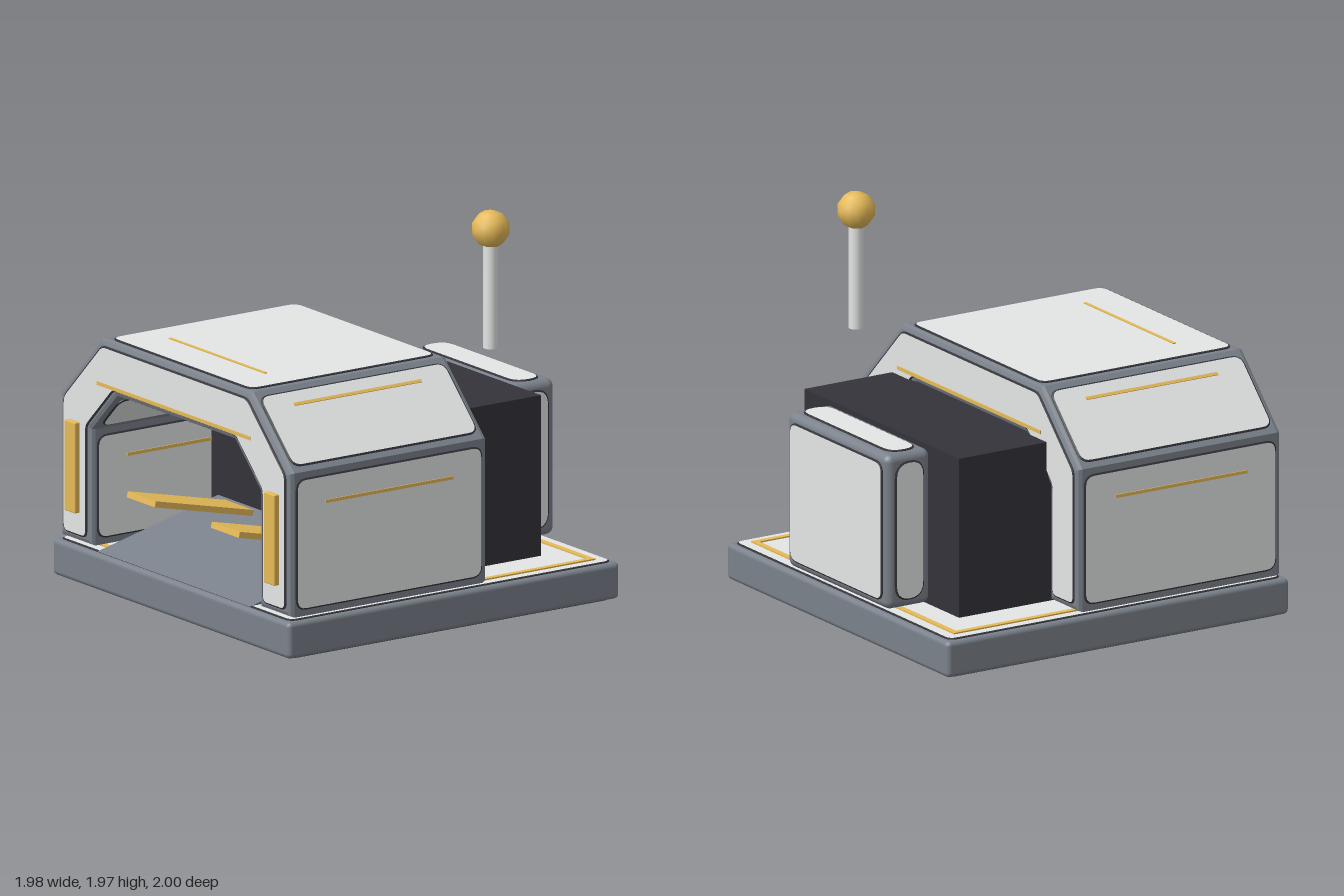
import * as THREE from 'three';
import { RoundedBoxGeometry } from 'three/addons/geometries/RoundedBoxGeometry.js';

const mat = (name, color) => Object.assign(new THREE.MeshStandardMaterial({ color }), { name });

export function createModel() {
  const model = new THREE.Group();
  model.name = 'garageModule';
  const slate = mat('slate frame', 0x7b828b);
  const pale = mat('pale panel', 0xe4e6e6);
  const dark = mat('dark core', 0x34333a);
  const gold = mat('gold trim', 0xe6ba58);
  const seamed = [pale, dark]; // pale face, dark seam around the rim

  const add = (name, geometry, material, x = 0, y = 0, z = 0) => {
    const mesh = new THREE.Mesh(geometry, material);
    mesh.name = name;
    mesh.position.set(x, y, z);
    model.add(mesh);
    return mesh;
  };
  const box = (name, material, w, h, d, x, y, z) =>
    add(name, new THREE.BoxGeometry(w, h, d), material, x, y, z);

  // Closed polygon with rounded corners
  const roundPoly = (points, r) => {
    const pts = points.map(([x, y]) => new THREE.Vector2(x, y));
    const shape = new THREE.Shape();
    pts.forEach((p, i) => {
      const prev = pts[(i + pts.length - 1) % pts.length];
      const next = pts[(i + 1) % pts.length];
      const a = prev.clone().sub(p).setLength(r).add(p);
      const b = next.clone().sub(p).setLength(r).add(p);
      if (i) shape.lineTo(a.x, a.y); else shape.moveTo(a.x, a.y);
      shape.quadraticCurveTo(p.x, p.y, b.x, b.y);
    });
    shape.closePath();
    return shape;
  };
  // Thin panel with a sloping rim; its face lies 0.009 above its origin
  const plate = (shape) => new THREE.ExtrudeGeometry(shape, {
    depth: 0.005, bevelThickness: 0.004, bevelSize: 0.008, bevelSegments: 1, curveSegments: 5,
  });
  const rectPlate = (w, h, r) =>
    plate(roundPoly([[-w / 2, -h / 2], [w / 2, -h / 2], [w / 2, h / 2], [-w / 2, h / 2]], r));
  const mirrored = (half) => [...half, ...half.map(([x, y]) => [-x, y]).reverse()];

  // Base slab, floor and underside plates, gold border
  add('base', new RoundedBoxGeometry(1.98, 0.184, 1.98, 2, 0.025), slate, 0, 0.098, 0);
  for (const s of [-1, 1]) {
    const panel = add(s > 0 ? 'floorPlate' : 'undersidePlate', rectPlate(1.91, 1.91, 0.04), seamed,
      0, s > 0 ? 0.188 : 0.009, 0);
    panel.rotation.x = -s * Math.PI / 2;
    box('floorTrimSide', gold, 0.03, 0.008, 1.8, s * 0.893, 0.2, 0);
    box('floorTrimEnd', gold, 1.756, 0.008, 0.03, 0, 0.2, s * 0.885);
  }

  // Arched shell frame
  const zBack = -0.215, zFront = 0.96, zMid = (zBack + zFront) / 2, zLen = zFront - zBack;
  const outer = mirrored([[0.96, 0.205], [0.96, 0.93], [0.62, 1.267]]);
  const inner = mirrored([[0.7, 0.205], [0.7, 0.79], [0.49, 1.0]]).reverse();
  const bevel = 0.025;
  const arch = new THREE.Shape([...outer, ...inner].map(([x, y]) => new THREE.Vector2(x, y)));
  add('archFrame', new THREE.ExtrudeGeometry(arch, {
    depth: zLen - 2 * bevel, bevelThickness: bevel, bevelSize: bevel, bevelOffset: -bevel, bevelSegments: 2,
  }), slate, 0, 0, zBack + bevel);

  // Arch-shaped panels on the front and back faces
  const archPanel = roundPoly([
    ...mirrored([[0.92, 0.245], [0.92, 0.912], [0.603, 1.23]]),
    ...mirrored([[0.742, 0.245], [0.742, 0.807], [0.513, 1.036]]).reverse(),
  ], 0.03);
  add('frontPanel', plate(archPanel), seamed, 0, 0, zFront - 0.001);
  add('backPanel', plate(archPanel), seamed, 0, 0, zBack + 0.001).rotation.y = Math.PI;
  box('frontStripe', gold, 1.28, 0.018, 0.016, 0, 1.042, zFront + 0.005);
  box('backStripe', gold, 1.28, 0.018, 0.016, 0, 1.042, zBack - 0.005);

  // Panels and stripes on each flat of the arch, outside and inside
  const onFlat = (mesh, p, q, along, z) => {
    const t = new THREE.Vector3(q[0] - p[0], q[1] - p[1], 0).normalize();
    const n = new THREE.Vector3(t.y, -t.x, 0);
    mesh.quaternion.setFromRotationMatrix(
      new THREE.Matrix4().makeBasis(t, new THREE.Vector3(0, 0, 1), n));
    mesh.position.set(p[0] + (q[0] - p[0]) * along, p[1] + (q[1] - p[1]) * along, z);
    mesh.position.addScaledVector(n, -0.001);
  };
  const lineFlats = (profile, name, stripes) => {
    for (let i = 0; i < 5; i++) {
      const p = profile[i], q = profile[i + 1];
      const len = Math.hypot(q[0] - p[0], q[1] - p[1]);
      onFlat(add(name + 'Panel', rectPlate(len - 0.08, zLen - 0.08, 0.05), seamed), p, q, 0.5, zMid);
      if (stripes[i]) {
        const stripe = new THREE.BoxGeometry(0.016, 0.76, 0.028);
        onFlat(add(name + 'Stripe', stripe, gold), p, q, stripes[i], 0.375);
      }
    }
  };
  lineFlats(outer, 'outer', [0.772, 0.765, 0, 0.235, 0.228]);
  lineFlats(inner, 'inner', [0.74, 0, 0, 0, 0.26]);
  box('roofStripe', gold, 0.8, 0.016, 0.016, 0, 1.272, 0.705);

  // Dark core block and entry ramp
  box('coreBlock', dark, 1.38, 0.808, 0.98, 0, 0.601, -0.24);
  const rampSide = new THREE.Shape([[-0.97, 0.195], [-0.24, 0.195], [-0.24, 0.37]]
    .map(([x, y]) => new THREE.Vector2(x, y)));
  const ramp = add('ramp', new THREE.ExtrudeGeometry(rampSide, { depth: 1.27, bevelEnabled: false }),
    slate, -0.635, 0, 0);
  ramp.rotation.y = Math.PI / 2;

  // Gold leg plates and tilted treads
  for (const s of [-1, 1]) {
    add('legPlate', new RoundedBoxGeometry(0.09, 0.457, 0.05, 1, 0.006), gold, s * 0.832, 0.583, 0.972);
    const tread = box('tread', gold, 0.234, 0.03, 0.6, s * 0.351, 0.443, 0.62);
    tread.rotation.x = -0.227;
  }

  // Rear pod with inset panels
  const pod = { y: 0.604, z: -0.863 };
  add('rearPod', new RoundedBoxGeometry(0.9, 0.785, 0.256, 3, 0.04), slate, 0, pod.y, pod.z);
  for (const s of [-1, 1]) {
    const side = add('podSidePanel', rectPlate(0.152, 0.69, 0.074), seamed, s * 0.449, pod.y, pod.z);
    side.rotation.y = s * Math.PI / 2;
  }
  const podTop = add('podTopPanel', rectPlate(0.81, 0.152, 0.074), seamed, 0, 0.995, pod.z);
  podTop.rotation.x = -Math.PI / 2;
  const podBack = add('podBackPanel', rectPlate(0.81, 0.69, 0.05), seamed, 0, pod.y, -0.99);
  podBack.rotation.y = Math.PI;

  // Antenna rod and ball
  add('antennaRod', new THREE.CylinderGeometry(0.037, 0.037, 0.55, 12), pale, 0.655, 1.555, -0.455);
  add('antennaBall', new THREE.IcosahedronGeometry(0.096, 1), gold, 0.655, 1.878, -0.455);

  return model;
}
